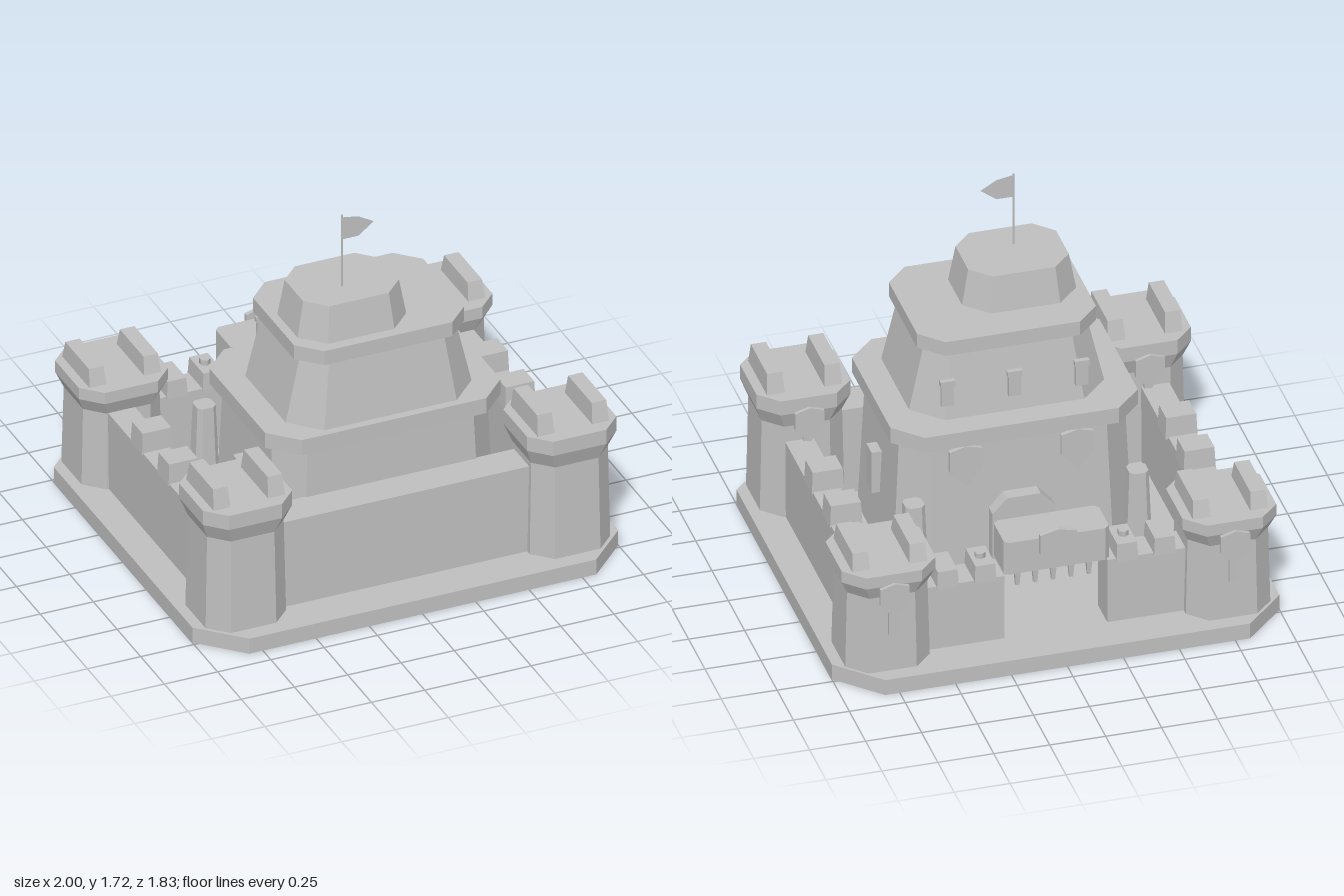
import * as THREE from 'three';
import { ConvexGeometry } from 'three/addons/geometries/ConvexGeometry.js';

const stone = new THREE.MeshStandardMaterial({ color: 0xbfbfbf });
stone.name = 'stone grey';
const flagCloth = new THREE.MeshStandardMaterial({ color: 0xbfbfbf, side: THREE.DoubleSide });
flagCloth.name = 'flag grey';

// Outline of a rectangle with cut corners, as [x, z] pairs
function outline(x0, x1, z0, z1, c) {
  if (!c) return [[x0, z0], [x1, z0], [x1, z1], [x0, z1]];
  return [[x0 + c, z0], [x1 - c, z0], [x1, z0 + c], [x1, z1 - c],
    [x1 - c, z1], [x0 + c, z1], [x0, z1 - c], [x0, z0 + c]];
}

export function createModel() {
  const root = new THREE.Group();
  root.name = 'castle';

  const add = (name, geometry, parent = root, material = stone) => {
    const mesh = new THREE.Mesh(geometry, material);
    mesh.name = name;
    parent.add(mesh);
    return mesh;
  };
  const box = (name, x0, x1, y0, y1, z0, z1) => {
    add(name, new THREE.BoxGeometry(x1 - x0, y1 - y0, z1 - z0))
      .position.set((x0 + x1) / 2, (y0 + y1) / 2, (z0 + z1) / 2);
  };
  // Tapered block between two cut-corner rectangles [x0, x1, z0, z1, cut]
  const block = (name, y0, lower, y1, upper, parent) => {
    const points = [];
    for (const [y, ring] of [[y0, lower], [y1, upper]])
      for (const [x, z] of outline(...ring)) points.push(new THREE.Vector3(x, y, z));
    add(name, new ConvexGeometry(points), parent);
  };
  const square = (x, z, r, c) => [x - r, x + r, z - r, z + r, c];
  // Small wall merlon, slightly narrower at the top
  const merlon = (name, x, z, rx, rz, y0, y1) => {
    const t = 0.005;
    block(name, y0, [x - rx, x + rx, z - rz, z + rz, 0],
      y1, [x - rx + t, x + rx - t, z - rz + t, z + rz - t, 0]);
  };
  // Pointed plate hanging on a wall, its top edge at y
  const shield = (name, x, y, z, w, h) => {
    const s = new THREE.Shape();
    s.moveTo(-w / 2, -0.02);
    s.lineTo(0, 0);
    s.lineTo(w / 2, -0.02);
    s.lineTo(w / 2, -h * 0.6);
    s.lineTo(0, -h);
    s.lineTo(-w / 2, -h * 0.6);
    const g = new THREE.ExtrudeGeometry(s, { depth: 0.02, bevelEnabled: false });
    add(name, g).position.set(x, y, z - 0.01);
  };

  // Ground plate, with recesses under the towers and three slots under the gate
  const frontZ = 0.653, backZ = -0.658;
  const toPoints = (ring) => outline(...ring).map(([x, z]) => new THREE.Vector2(x, -z)).reverse();
  const rim = [-1, 1, -0.917, 0.917, 0.185];
  const plate = new THREE.Shape(toPoints(rim));
  for (const x of [-0.761, 0.761])
    for (const z of [backZ, frontZ])
      plate.holes.push(new THREE.Path(toPoints(square(x, z, 0.189, 0.082))));
  for (const z of [-0.77, -0.735, -0.7])
    plate.holes.push(new THREE.Path(toPoints([-0.24, 0.24, z - 0.009, z + 0.009, 0])));
  const plateGeo = new THREE.ExtrudeGeometry(plate, { depth: 0.07, bevelEnabled: false });
  add('groundPlate', plateGeo.rotateX(-Math.PI / 2));
  block('groundTop', 0.07, rim, 0.075, rim);

  // Corner towers
  const tower = (name, x, z, flareY, capY, topY, merlonY) => {
    const g = new THREE.Group();
    g.name = name;
    root.add(g);
    const cap = square(x, z, 0.21, 0.085);
    block('shaft', 0.072, square(x, z, 0.189, 0.082), flareY, square(x, z, 0.18, 0.078), g);
    block('flare', flareY, square(x, z, 0.18, 0.078), capY, cap, g);
    block('cap', capY, cap, topY, cap, g);
    for (const s of [-1, 1]) {
      const m = x + s * 0.128;
      block('merlon', topY, [m - 0.04, m + 0.04, z - 0.145, z + 0.145, 0],
        merlonY, [m - 0.034, m + 0.034, z - 0.125, z + 0.125, 0], g);
    }
  };
  for (const s of [-1, 1]) {
    const x = s * 0.761;
    tower('frontTower', x, frontZ, 0.527, 0.606, 0.677, 0.772);
    tower('backTower', x, backZ, 0.448, 0.517, 0.573, 0.655);
    shield('backTowerShield', x, 0.53, -0.872, 0.13, 0.17);
    shield('frontTowerShield', x, 0.63, 0.438, 0.13, 0.17);
    box('backTowerSlit', x - 0.02, x + 0.02, 0.26, 0.39, -0.857, -0.82);
    box('frontTowerSlit', x - 0.02, x + 0.02, 0.36, 0.49, 0.454, 0.49);

    // Side wall with two merlons
    const side = s * 0.795;
    box('sideWall', side - 0.063, side + 0.063, 0.07, 0.45, -0.5, 0.5);
    for (const z of [-0.17, 0.11])
      merlon('sideMerlon', s * 0.79, z, 0.072, 0.061, 0.44, 0.545);

    // Back wall beside the gate
    const wx = s * 0.41;
    box('backWall', wx - 0.18, wx + 0.18, 0.07, 0.39, -0.735, -0.59);
    for (const m of [0.317, 0.485])
      merlon('backMerlon', s * m, -0.665, 0.049, 0.081, 0.38, 0.465);
    add('wallPeg', new THREE.CylinderGeometry(0.024, 0.024, 0.03, 6).toNonIndexed())
      .position.set(s * 0.32, 0.475, -0.667);

    // Courtyard pillar
    const px = s * 0.5;
    block('pillar', 0.07, square(px, -0.268, 0.06, 0.025), 0.525, square(px, -0.268, 0.043, 0.018));
  }

  // Front wall
  box('frontWall', -0.62, 0.62, 0.07, 0.498, 0.575, 0.735);

  // Gatehouse bridging the back wall, with hanging portcullis teeth
  const lintel = [-0.235, 0.235, -0.76, -0.57, 0.02];
  block('gatehouse', 0.41, lintel, 0.57, lintel);
  shield('gateShield', 0, 0.615, -0.772, 0.165, 0.19);
  for (let i = -2; i <= 2; i++)
    block('portcullisTooth', 0.31, square(i * 0.08, -0.69, 0.008, 0),
      0.42, square(i * 0.08, -0.69, 0.016, 0));

  // Keep, in three stepped tiers
  block('keepBase', 0.07, [-0.535, 0.535, -0.195, 0.595, 0.12], 0.735, [-0.505, 0.505, -0.175, 0.575, 0.115]);
  const ledge = [-0.553, 0.553, -0.213, 0.615, 0.12];
  block('keepLedge', 0.735, ledge, 0.81, ledge);
  block('keepMiddle', 0.81, [-0.437, 0.435, -0.1, 0.578, 0.125], 1.12, [-0.365, 0.365, -0.055, 0.535, 0.095]);
  const cornice = [-0.4, 0.4, -0.077, 0.555, 0.1];
  block('keepCornice', 1.12, cornice, 1.19, cornice);
  block('keepTop', 1.19, [-0.36, 0.15, 0.09, 0.505, 0.1], 1.36, [-0.33, 0.12, 0.115, 0.48, 0.085]);

  // Keep door with a cut-corner head
  const door = new THREE.Shape();
  door.moveTo(-0.14, 0.07);
  door.lineTo(0.14, 0.07);
  door.lineTo(0.14, 0.39);
  door.lineTo(0.075, 0.46);
  door.lineTo(-0.075, 0.46);
  door.lineTo(-0.14, 0.39);
  add('keepDoor', new THREE.ExtrudeGeometry(door, { depth: 0.07, bevelEnabled: false }))
    .position.z = -0.245;

  // Shields and windows on the keep
  for (const s of [-1, 1]) {
    shield('keepShield', s * 0.25, 0.735, -0.205, 0.145, 0.2);
    box('sideWindow', s * 0.535 - 0.025, s * 0.535 + 0.025, 0.32, 0.525, 0.17, 0.25);
  }
  for (const x of [-0.3, 0, 0.3]) {
    box('keepWindow', x - 0.028, x + 0.028, 0.885, 0.99, -0.108, -0.088);
    box('windowHead', x - 0.033, x + 0.033, 0.985, 1.01, -0.112, -0.088);
  }

  // Flagpole and flag
  add('flagpole', new THREE.CylinderGeometry(0.005, 0.005, 0.36, 6)).position.set(-0.125, 1.535, 0.345);
  const flag = new THREE.Shape();
  flag.moveTo(0, 1.705);
  flag.lineTo(0, 1.595);
  flag.lineTo(0.075, 1.595);
  flag.lineTo(0.147, 1.65);
  flag.lineTo(0.075, 1.692);
  add('flag', new THREE.ShapeGeometry(flag), root, flagCloth).position.set(-0.125, 0, 0.35);

  return root;
}
